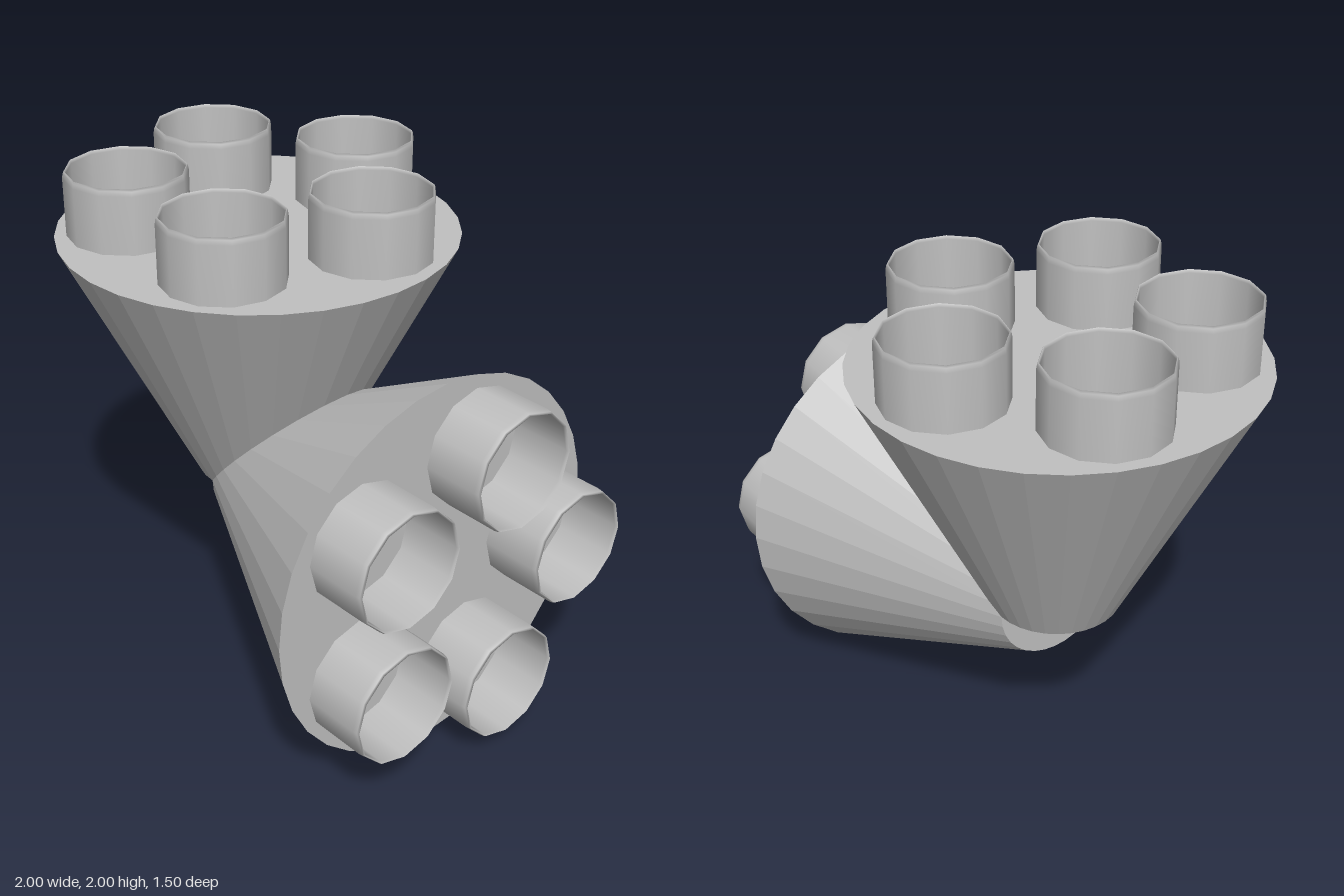
import * as THREE from 'three';

const grey = new THREE.MeshStandardMaterial({ color: 0xc0c0c0 });
grey.name = 'grey';

const CUPS = 5, RING = 0.476, CUP_HEIGHT = 0.248;

// Thin open cup with a softly rounded rim
function cupGeometry() {
  const profile = [
    [0.229, 0], [0.229, 0.03], [0.229, 0.222], [0.226, 0.24],
    [0.222, CUP_HEIGHT], [0.218, 0.235], [0.218, 0],
  ].map(([r, y]) => new THREE.Vector2(r, y));
  return new THREE.LatheGeometry(profile, 12);
}

// Faceted cone that widens upwards and carries a ring of cups
function createCluster(name) {
  const cluster = new THREE.Group();
  cluster.name = name;

  const coneGeo = new THREE.CylinderGeometry(0.75, 0.25, 1, 32).toNonIndexed();
  coneGeo.computeVertexNormals();
  const cone = new THREE.Mesh(coneGeo, grey);
  cone.name = 'cone';
  cone.position.y = 0.5;
  cluster.add(cone);

  const cupGeo = cupGeometry();
  for (let i = 0; i < CUPS; i++) {
    const a = (i / CUPS) * Math.PI * 2;
    const cup = new THREE.Mesh(cupGeo, grey);
    cup.name = 'cup';
    cup.position.set(Math.sin(a) * RING, 1, -Math.cos(a) * RING);
    cluster.add(cup);
  }
  cluster.position.set(-0.25, 0.752, 0);
  return cluster;
}

export function createModel() {
  const model = new THREE.Group();
  model.name = 'doubleConeCluster';

  const up = createCluster('upperCluster');
  const side = createCluster('sideCluster');
  side.rotation.z = -Math.PI / 2;
  model.add(up, side);
  return model;
}
